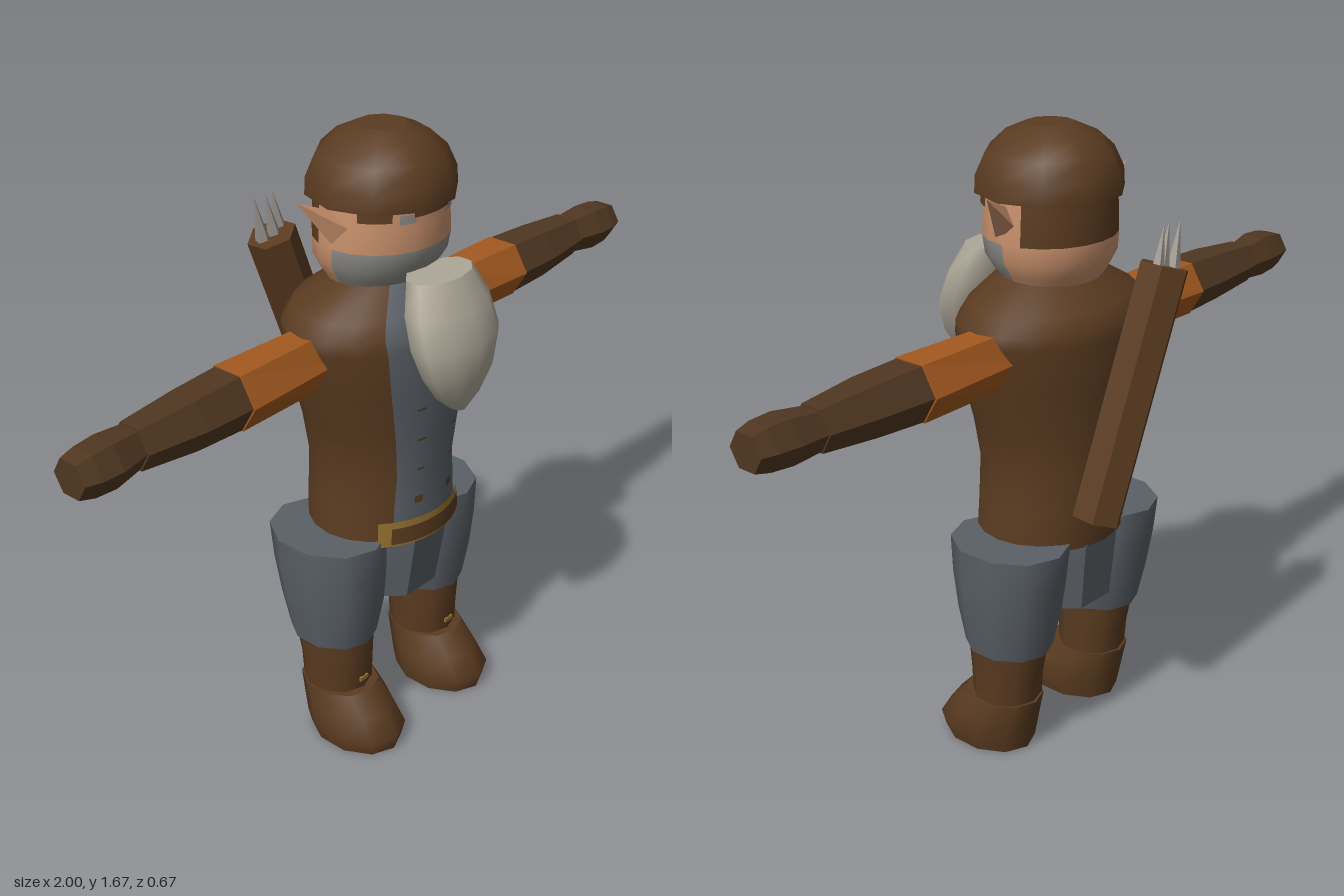
import * as THREE from 'three';

const mat = (name, color, side = THREE.FrontSide) =>
  Object.assign(new THREE.MeshStandardMaterial({ color, side }), { name });

// Ring: [y, half width, front z, back z, centre x]
const point = ([y, rx, front, back, cx = 0], a) => [
  cx + Math.sin(a) * rx, y, (front + back) / 2 + Math.cos(a) * (front - back) / 2];

// Skin over stacked oval rings with capped ends; pick(row, degrees) chooses a material index
function loft(rings, sides, { pick = () => 0, flat = false, turn = 0 } = {}) {
  const pos = [], tris = [];
  const add = (m, ...ids) => (tris[m] ??= []).push(...ids);
  const angle = i => (i + turn) / sides * Math.PI * 2;
  rings.forEach(r => { for (let i = 0; i < sides; i++) pos.push(...point(r, angle(i))); });
  for (let r = 0; r < rings.length - 1; r++) for (let i = 0; i < sides; i++) {
    const j = (i + 1) % sides, a = r * sides + i, b = r * sides + j;
    const deg = Math.abs(((i + 0.5 + turn) / sides * 360 + 180) % 360 - 180);
    add(pick(r, deg), a, b, b + sides, a, b + sides, a + sides);
  }
  for (const top of [false, true]) {
    const ring = rings[top ? rings.length - 1 : 0], start = pos.length / 3;
    for (let i = 0; i < sides; i++) pos.push(...point(ring, angle(i)));
    for (let i = 1; i < sides - 1; i++)
      top ? add(0, start, start + i, start + i + 1) : add(0, start, start + i + 1, start + i);
  }
  let g = new THREE.BufferGeometry();
  g.setAttribute('position', new THREE.Float32BufferAttribute(pos, 3));
  const index = [];
  tris.forEach((t, m) => { g.addGroup(index.length, t.length, m); index.push(...t); });
  g.setIndex(index);
  if (flat) g = g.toNonIndexed();
  g.computeVertexNormals();
  return g;
}

// Thin curved patch lying on a lofted body
function patch(rings, y0, y1, deg0, deg1, off) {
  const g = new THREE.PlaneGeometry(1, 1, 8, 1), p = g.attributes.position;
  for (let i = 0; i < p.count; i++) {
    const y = y0 + (p.getY(i) + 0.5) * (y1 - y0);
    const a = THREE.MathUtils.degToRad(deg0 + (p.getX(i) + 0.5) * (deg1 - deg0));
    const k = Math.max(1, rings.findIndex(r => r[0] >= y));
    const lo = rings[k - 1], hi = rings[k], t = (y - lo[0]) / (hi[0] - lo[0]);
    const [x, , z] = point(lo.slice(0, 4).map((v, n) => v + (hi[n] - v) * t), a);
    p.setXYZ(i, x + Math.sin(a) * off, y, z + Math.cos(a) * off);
  }
  g.computeVertexNormals();
  return g;
}

export function createModel() {
  const model = new THREE.Group();
  const brown = mat('brown leather', 0x5a3b20), dark = mat('dark leather', 0x503721);
  const grey = mat('grey cloth', 0x5a6066), orange = mat('orange sleeve', 0xa3591f);
  const skin = mat('skin', 0xc8906c), stubble = mat('grey stubble', 0x8a8984);
  const white = mat('beard hair', 0xaea798), gold = mat('gold', 0x94712f);
  const steel = mat('arrow steel', 0x99938a);
  const add = (name, geo, material, parent = model) => {
    const m = new THREE.Mesh(geo, material);
    m.name = name;
    parent.add(m);
    return m;
  };
  // Cone or prism stretched between two points
  const spike = (name, from, to, r0, r1, sides, material) => {
    const a = new THREE.Vector3(...from), b = new THREE.Vector3(...to);
    const g = new THREE.CylinderGeometry(r1, r0, a.distanceTo(b), sides).toNonIndexed();
    g.computeVertexNormals();
    const m = add(name, g, material);
    m.position.copy(a).add(b).multiplyScalar(0.5);
    m.quaternion.setFromUnitVectors(new THREE.Vector3(0, 1, 0), b.sub(a).normalize());
    return m;
  };

  // Jacket with a grey waistcoat down the front
  const torso = [
    [0.60, 0.21, 0.203, -0.165], [0.70, 0.203, 0.2, -0.17], [0.80, 0.188, 0.203, -0.175],
    [0.92, 0.212, 0.212, -0.183], [1.05, 0.255, 0.222, -0.193], [1.17, 0.28, 0.224, -0.2],
    [1.205, 0.284, 0.215, -0.195], [1.245, 0.25, 0.195, -0.175], [1.31, 0.14, 0.137, -0.09]];
  add('jacket', loft(torso, 20, { pick: (r, deg) => deg < 36 ? 1 : 0 }), [brown, grey]);

  // Belt and waistcoat buttons
  add('beltBuckle', patch(torso, 0.605, 0.675, -48, 48, 0.006), gold);
  add('beltLeather', patch(torso, 0.612, 0.658, -38, 38, 0.009), brown);
  for (const s of [-1, 1])
    [[0.73, 0.02], [0.82, 0.006], [0.91, 0.006], [1.0, 0.006]].forEach(([y, h]) =>
      add('button', patch(torso, y - h / 2, y + h / 2, s * 17 - 3.5, s * 17 + 3.5, 0.005), brown));

  // Breeches seat
  add('breechesSeat', loft([
    [0.41, 0.152, 0.172, -0.152], [0.60, 0.165, 0.205, -0.172], [0.625, 0.165, 0.2, -0.165],
  ], 8, { flat: true, turn: 0.5 }), grey);

  // Head: stubbled jaw, bare face and hair at the back
  const head = [
    [1.28, 0.13, 0.12, -0.1], [1.32, 0.155, 0.145, -0.125], [1.36, 0.178, 0.172, -0.145],
    [1.405, 0.18, 0.182, -0.148], [1.46, 0.178, 0.18, -0.148], [1.53, 0.172, 0.178, -0.145]];
  add('head', loft(head, 20, {
    pick: (r, deg) => r < 3 ? (deg < 90 ? 1 : 0) : (deg > 100 ? 2 : 0),
  }), [skin, stubble, brown]);
  add('fringe', patch(head, 1.492, 1.518, -20, 20, 0.006), brown);
  for (const s of [-1, 1]) {
    add('eye', patch(head, 1.478, 1.5, s * 25 - 7, s * 25 + 7, 0.004), stubble);
    add('sideburn', patch(head, 1.485, 1.52, s * 52 - 14, s * 52 + 14, 0.005), brown);
    spike('ear', [s * 0.165, 1.455, 0.022], [s * 0.265, 1.54, -0.015], 0.04, 0, 4, skin);
  }

  // Round cap
  add('cap', loft([
    [1.51, 0.193, 0.206, -0.17], [1.555, 0.19, 0.204, -0.168], [1.61, 0.165, 0.178, -0.142],
    [1.65, 0.12, 0.135, -0.1], [1.675, 0.062, 0.08, -0.045],
  ], 10, { turn: 0.5 }), brown);

  // Long beard
  add('beard', loft([
    [0.998, 0.018, 0.29, 0.235], [1.04, 0.068, 0.312, 0.218], [1.11, 0.118, 0.332, 0.2],
    [1.19, 0.146, 0.336, 0.175], [1.27, 0.138, 0.308, 0.15], [1.345, 0.105, 0.265, 0.138],
  ], 10), white);

  for (const s of [-1, 1]) {
    // Arm: sections run outward along x
    const arm = new THREE.Group();
    arm.name = s > 0 ? 'leftArm' : 'rightArm';
    arm.position.y = 1.135;
    arm.rotation.z = -s * Math.PI / 2;
    model.add(arm);
    const limb = (name, rings, material) => add(name, loft(rings, 6, { flat: true }), material, arm);
    limb('sleeve', [[0.2, 0.082, 0.07, -0.072], [0.52, 0.083, 0.088, -0.088]], orange);
    limb('forearm', [[0.52, 0.08, 0.083, -0.083], [0.66, 0.074, 0.082, -0.076],
      [0.82, 0.06, 0.062, -0.06]], dark);
    limb('hand', [[0.815, 0.054, 0.055, -0.055], [0.9, 0.064, 0.076, -0.058],
      [0.96, 0.06, 0.074, -0.052], [1.0, 0.05, 0.062, -0.042]], dark);

    // Breeches leg, shin and boot
    const leg = (name, rings, material) =>
      add(name, loft(rings.map(([y, rx, f, b, cx]) => [y, rx, f, b, s * cx]), 10), material);
    leg('breechesLeg', [[0.31, 0.107, 0.13, -0.115, 0.183], [0.41, 0.128, 0.148, -0.138, 0.182],
      [0.52, 0.138, 0.158, -0.157, 0.185], [0.62, 0.141, 0.163, -0.17, 0.185]], grey);
    leg('bootShaft', [[0.13, 0.09, 0.112, -0.075, 0.18], [0.22, 0.093, 0.115, -0.082, 0.18],
      [0.32, 0.101, 0.12, -0.1, 0.182]], brown);
    leg('bootFoot', [[0, 0.103, 0.222, -0.053, 0.18], [0.045, 0.116, 0.232, -0.06, 0.181],
      [0.1, 0.108, 0.19, -0.072, 0.181], [0.155, 0.096, 0.138, -0.085, 0.181]], brown);
    const clasp = add('bootClasp', new THREE.BoxGeometry(0.03, 0.012, 0.006), gold);
    clasp.position.set(s * 0.181, 0.185, 0.114);
  }

  // Quiver slung across the back, with arrow points
  spike('quiver', [0.11, 0.72, -0.228], [-0.1, 1.345, -0.265], 0.066, 0.066, 6, brown);
  for (const [x, z] of [[-0.135, -0.272], [-0.103, -0.262], [-0.07, -0.272]])
    spike('arrow', [x + 0.012, 1.33, z], [x - 0.015, 1.455, z], 0.02, 0, 5, steel);

  return model;
}
